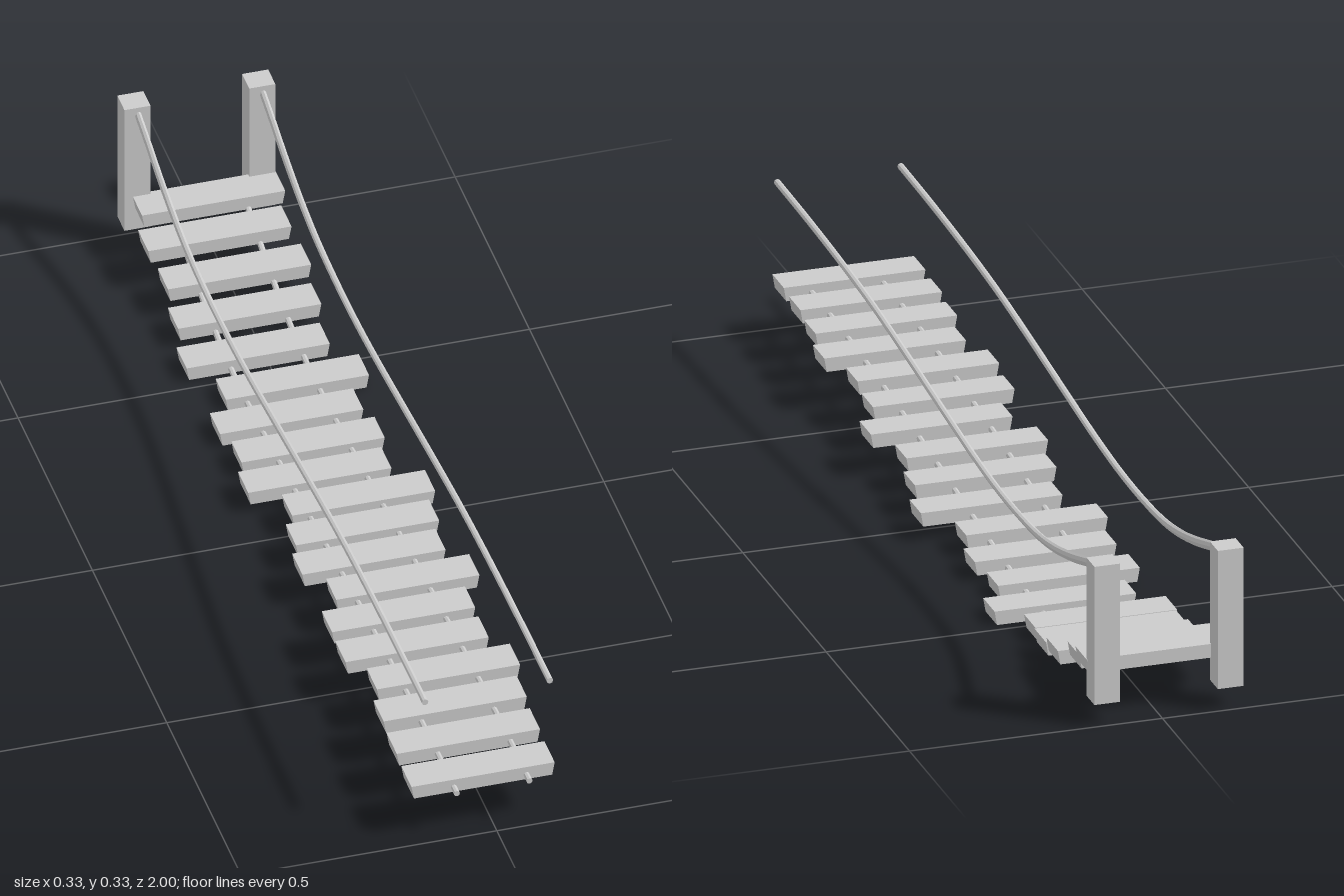
import * as THREE from 'three';

const material = new THREE.MeshStandardMaterial({ color: 0xcccccc, flatShading: true });

function add(parent, name, geometry, x, y, z) {
  const mesh = new THREE.Mesh(geometry, material);
  mesh.name = name;
  mesh.position.set(x, y, z);
  parent.add(mesh);
}

// Smooth sagging line through [z, y] points
const curveOf = (points) =>
  new THREE.CatmullRomCurve3(points.map(([z, y]) => new THREE.Vector3(0, y, z)));

// Rope swept from front to back; its height may grow towards the back
function ropeGeometry(curve, radius, growth) {
  const segments = 48, sides = 8;
  const positions = [], index = [];
  for (let i = 0; i <= segments; i++) {
    const p = curve.getPoint(i / segments);
    const half = radius + growth * THREE.MathUtils.smoothstep(-p.z, 0.45, 0.85);
    for (let j = 0; j < sides; j++) {
      const a = (j / sides) * Math.PI * 2;
      positions.push(radius * Math.cos(a), p.y + half * Math.sin(a), p.z);
      if (i === segments) continue;
      const k = (j + 1) % sides;
      const b = i * sides, c = b + sides;
      index.push(b + j, c + j, b + k, b + k, c + j, c + k);
    }
  }
  // End caps
  const last = segments * sides;
  for (let j = 1; j < sides - 1; j++) {
    index.push(0, j, j + 1, last, last + j + 1, last + j);
  }
  const geometry = new THREE.BufferGeometry();
  geometry.setAttribute('position', new THREE.Float32BufferAttribute(positions, 3));
  geometry.setIndex(index);
  const flat = geometry.toNonIndexed();
  flat.computeVertexNormals();
  return flat;
}

// Plank with ends cut slightly inward towards the underside
function plankGeometry() {
  const geometry = new THREE.BoxGeometry(0.28, 0.028, 0.069);
  const p = geometry.attributes.position;
  for (let i = 0; i < p.count; i++) {
    if (p.getY(i) < 0) p.setX(i, p.getX(i) * 0.965);
  }
  geometry.computeVertexNormals();
  return geometry;
}

export function createModel() {
  const model = new THREE.Group();
  model.name = 'ropeBridge';

  // Walkway planks: [z, y, sideways shift]
  const planks = [
    [0.945, 0.107, -0.021], [0.836, 0.106, -0.018], [0.727, 0.103, -0.012],
    [0.62, 0.098, 0.006], [0.512, 0.091, -0.024], [0.404, 0.083, -0.019],
    [0.298, 0.075, 0.02], [0.191, 0.065, -0.015], [0.086, 0.055, 0.003],
    [-0.02, 0.044, 0.026], [-0.125, 0.034, -0.029], [-0.232, 0.025, -0.011],
    [-0.338, 0.018, -0.022], [-0.444, 0.014, 0.02], [-0.553, 0.019, -0.025],
    [-0.658, 0.034, -0.011], [-0.754, 0.056, -0.003], [-0.845, 0.083, -0.015],
    [-0.925, 0.107, -0.004],
  ];
  const walkway = new THREE.Group();
  walkway.name = 'walkway';
  model.add(walkway);
  const plank = plankGeometry();
  planks.forEach(([z, y, x], i) => add(walkway, `plank${i + 1}`, plank, x, y, z));

  // Ropes threaded through the planks
  const deckLine = curveOf([[1, 0.103], ...planks.map(([z, y]) => [z, y - 0.003]), [-0.955, 0.114]]);
  const deckRope = ropeGeometry(deckLine, 0.006, 0);
  add(model, 'leftDeckRope', deckRope, 0.064, 0, 0);
  add(model, 'rightDeckRope', deckRope, -0.078, 0, 0);

  // Hand ropes
  const handLine = curveOf([
    [0.975, 0.31], [0.8, 0.308], [0.6, 0.302], [0.4, 0.291], [0.2, 0.272], [0, 0.25],
    [-0.2, 0.229], [-0.35, 0.219], [-0.48, 0.218], [-0.6, 0.224], [-0.7, 0.239],
    [-0.8, 0.263], [-0.9, 0.293], [-0.97, 0.312],
  ]);
  const handRope = ropeGeometry(handLine, 0.0065, 0.004);
  add(model, 'leftHandRope', handRope, 0.111, 0, 0);
  add(model, 'rightHandRope', handRope, -0.133, 0, 0);

  // End posts
  const post = new THREE.BoxGeometry(0.051, 0.282, 0.048);
  add(model, 'leftPost', post, 0.109, 0.186, -0.976);
  add(model, 'rightPost', post, -0.135, 0.186, -0.976);

  return model;
}
